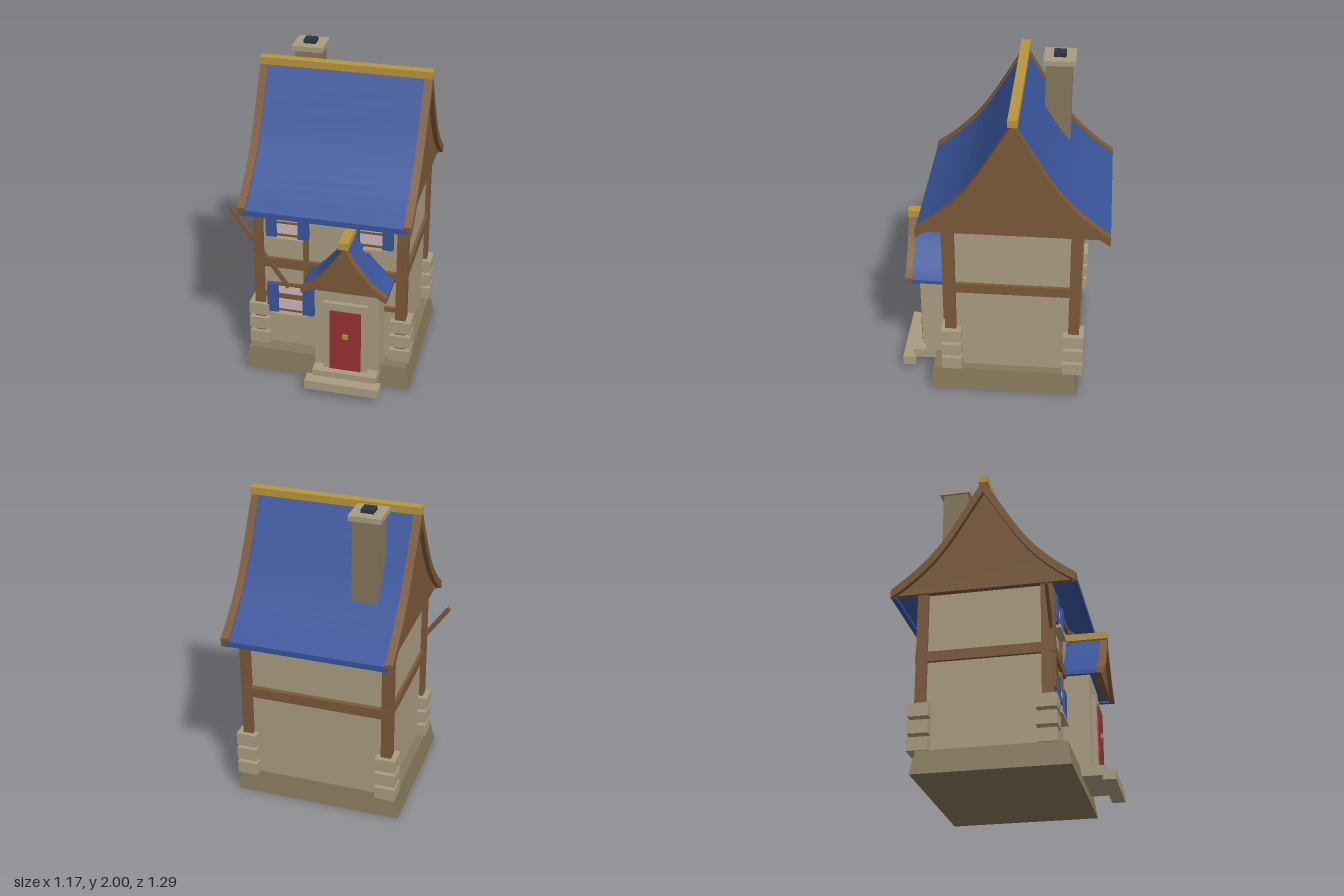
import * as THREE from 'three';

const mat = (name, color) => Object.assign(new THREE.MeshStandardMaterial({ color }), { name });
const plaster = mat('plaster', 0xaa9c80);
const baseStone = mat('baseStone', 0x86775b);
const timber = mat('timber', 0x7b5939);
const blue = mat('blue', 0x38549a);
const red = mat('red', 0x983234);
const gold = mat('gold', 0xb8963c);
const glass = mat('glass', 0xccb8bb);
const soot = mat('soot', 0x2a3442);

// Box from its extents
function box(parent, name, m, x0, x1, y0, y1, z0, z1) {
  const mesh = new THREE.Mesh(new THREE.BoxGeometry(x1 - x0, y1 - y0, z1 - z0), m);
  mesh.position.set((x0 + x1) / 2, (y0 + y1) / 2, (z0 + z1) / 2);
  mesh.name = name;
  parent.add(mesh);
  return mesh;
}

// Half profile (ridge to eave) sampled as a smooth curve
const curve = (pts) => new THREE.SplineCurve(pts.map(p => new THREE.Vector2(...p))).getPoints(14);

// Both roof slopes as one band; sink lowers the top, thicker near the ridge
function bandShape(half, sink, eaveDrop, ridgeDrop) {
  const n = half.length - 1;
  const top = half.map(p => [p.x, p.y - sink]);
  const under = half.map((p, i) => [p.x, p.y - ridgeDrop + (ridgeDrop - eaveDrop) * i / n]);
  const mirror = (list) => list.slice(1).map(([x, y]) => [-x, y]);
  const loop = [...mirror(top).reverse(), ...top, ...under.reverse(), ...mirror(under.reverse())];
  return new THREE.Shape(loop.map(p => new THREE.Vector2(...p)));
}

// Filled gable below the slopes
function gableShape(half, sink, bottom) {
  const pts = half.map(p => new THREE.Vector2(p.x, Math.max(bottom + 0.002, p.y - sink)));
  const left = pts.slice(1).reverse().map(p => new THREE.Vector2(-p.x, p.y));
  const end = half[half.length - 1].x;
  return new THREE.Shape([new THREE.Vector2(-end, bottom), ...left, ...pts, new THREE.Vector2(end, bottom)]);
}

function extrude(parent, name, m, shape, from, to) {
  const geo = new THREE.ExtrudeGeometry(shape, { depth: to - from, bevelEnabled: false });
  geo.translate(0, 0, from);
  const mesh = new THREE.Mesh(geo, m);
  mesh.name = name;
  parent.add(mesh);
}

// Shuttered window centred on x
function addWindow(parent, name, x, y0, y1, halfGlass, shutter) {
  const g = new THREE.Group();
  g.name = name;
  const h = halfGlass;
  box(g, 'windowFrame', timber, x - h - 0.01, x + h + 0.01, y0, y1 + 0.005, 0.33, 0.345);
  const mid = (y0 + y1) / 2;
  box(g, 'lowerPane', glass, x - h, x + h, y0 + 0.02, mid - 0.01, 0.344, 0.35);
  box(g, 'upperPane', glass, x - h, x + h, mid + 0.01, y1 - 0.02, 0.344, 0.35);
  for (const s of [-1, 1]) {
    const a = x + s * h, b = x + s * (h + shutter);
    box(g, 'shutter', blue, Math.min(a, b), Math.max(a, b), y0, y1, 0.33, 0.366);
  }
  box(g, 'windowSill', plaster, x - h - 0.035, x + h + 0.035, y0 - 0.02, y0, 0.33, 0.38);
  parent.add(g);
}

export function createModel() {
  const house = new THREE.Group();
  house.name = 'cottage';

  // Tapered stone base
  const base = box(house, 'base', baseStone, -0.487, 0.587, 0, 0.148, -0.483, 0.453);
  const p = base.geometry.attributes.position;
  for (let i = 0; i < p.count; i++) {
    if (p.getY(i) > 0) p.setXYZ(i, p.getX(i) * 0.953, p.getY(i), p.getZ(i) * 0.95);
  }
  base.geometry.computeVertexNormals();

  // Walls
  box(house, 'walls', plaster, -0.41, 0.51, 0.14, 1.2, -0.455, 0.335);

  // Corner posts and stacked corner stones
  for (const [x0, x1, qx0, qx1] of [[-0.435, -0.37, -0.47, -0.34], [0.47, 0.535, 0.44, 0.57]]) {
    for (const [z0, z1, qz0, qz1] of [[0.28, 0.35, 0.248, 0.373], [-0.482, -0.415, -0.512, -0.385]]) {
      box(house, 'cornerPost', timber, x0, x1, 0.14, 1.19, z0, z1);
      for (let i = 0; i < 3; i++) {
        const y = 0.148 + i * 0.106;
        box(house, 'cornerStone', plaster, qx0, qx1, y, y + 0.083, qz0, qz1);
      }
    }
  }

  // Beam running round the house
  box(house, 'frontBeam', timber, -0.432, 0.532, 0.72, 0.785, 0.3, 0.357);
  box(house, 'backBeam', timber, -0.432, 0.532, 0.72, 0.785, -0.487, -0.43);
  box(house, 'leftBeam', timber, 0.49, 0.53, 0.72, 0.785, -0.48, 0.345);
  box(house, 'rightBeam', timber, -0.43, -0.39, 0.72, 0.785, -0.48, 0.345);

  // Thin front framing
  for (const [x0, x1] of [[-0.415, -0.375], [0.475, 0.515]]) {
    box(house, 'frameUpright', timber, x0, x1, 0.5, 1.14, 0.32, 0.36);
  }
  box(house, 'frameMiddlePost', timber, -0.115, -0.083, 0.53, 1.12, 0.32, 0.352);
  box(house, 'frameLowerRail', timber, -0.415, 0.515, 0.5, 0.53, 0.32, 0.354);
  box(house, 'frameUpperRail', timber, -0.415, 0.515, 1.11, 1.14, 0.32, 0.354);

  // Slanting brace that passes the corner
  const brace = box(house, 'brace', timber, -0.014, 0.014, -0.315, 0.315, -0.01, 0.01);
  brace.position.set(-0.395, 0.835, 0.34);
  brace.rotation.z = 0.61;

  // Windows
  addWindow(house, 'upperRightWindow', -0.213, 0.945, 1.138, 0.068, 0.066);
  addWindow(house, 'upperLeftWindow', 0.312, 0.945, 1.138, 0.07, 0.065);
  addWindow(house, 'lowerWindow', -0.2, 0.395, 0.6, 0.079, 0.072);

  // Main roof, ridge along x
  const roof = new THREE.Group();
  roof.name = 'roof';
  roof.rotation.y = Math.PI / 2;
  roof.position.z = -0.07;
  house.add(roof);
  const main = curve([[0, 1.925], [0.1, 1.755], [0.205, 1.58], [0.31, 1.435], [0.445, 1.3], [0.574, 1.2]]);
  extrude(roof, 'roofSlopes', blue, bandShape(main, 0.015, 0.05, 0.08), -0.43, 0.53);
  for (const [a, b, c, d] of [[-0.48, -0.43, -0.45, -0.41], [0.53, 0.58, 0.51, 0.55]]) {
    extrude(roof, 'bargeboard', timber, bandShape(main, 0, 0.055, 0.09), a, b);
    extrude(roof, 'gable', timber, gableShape(main, 0.03, 1.168), c, d);
  }
  for (const s of [-1, 1]) {
    const z = -0.07 + s * 0.56;
    box(house, 'eaveStrip', blue, -0.455, 0.555, 1.15, 1.178, z - 0.015, z + 0.015);
  }
  box(house, 'ridgeCap', gold, -0.482, 0.582, 1.905, 1.95, -0.1, -0.042);

  // Chimney
  box(house, 'chimneyStack', baseStone, -0.305, -0.145, 1.33, 1.95, -0.372, -0.212);
  box(house, 'chimneyCap', plaster, -0.323, -0.127, 1.945, 1.977, -0.393, -0.197);
  box(house, 'chimneyPot', soot, -0.263, -0.187, 1.97, 2, -0.333, -0.257);

  // Porch, door and steps
  box(house, 'porch', plaster, -0.005, 0.4, 0.14, 0.76, 0.3, 0.5);
  box(house, 'doorSurround', plaster, 0.055, 0.333, 0.145, 0.625, 0.49, 0.53);
  box(house, 'door', red, 0.098, 0.294, 0.146, 0.575, 0.5, 0.539);
  box(house, 'doorKnob', gold, 0.179, 0.214, 0.384, 0.416, 0.53, 0.548);
  box(house, 'upperStep', plaster, -0.005, 0.4, 0.085, 0.147, 0.43, 0.58);
  box(house, 'lowerStep', plaster, -0.04, 0.432, 0.045, 0.106, 0.565, 0.647);

  // Porch roof, ridge along z
  const porchRoof = new THREE.Group();
  porchRoof.name = 'porchRoof';
  porchRoof.position.x = 0.197;
  house.add(porchRoof);
  const small = curve([[0, 1.065], [0.05, 0.98], [0.11, 0.895], [0.19, 0.805], [0.263, 0.755]]);
  extrude(porchRoof, 'porchSlopes', blue, bandShape(small, 0.01, 0.034, 0.055), 0.335, 0.555);
  extrude(porchRoof, 'porchBargeboard', timber, bandShape(small, 0, 0.036, 0.065), 0.553, 0.6);
  extrude(porchRoof, 'porchGable', timber, gableShape(small, 0.02, 0.738), 0.53, 0.575);
  for (const s of [-1, 1]) {
    box(porchRoof, 'porchEaveStrip', blue, s * 0.25 - 0.011, s * 0.25 + 0.011, 0.72, 0.745, 0.35, 0.568);
  }
  box(porchRoof, 'porchRidgeCap', gold, -0.03, 0.03, 1.055, 1.1, 0.335, 0.602);

  return house;
}
